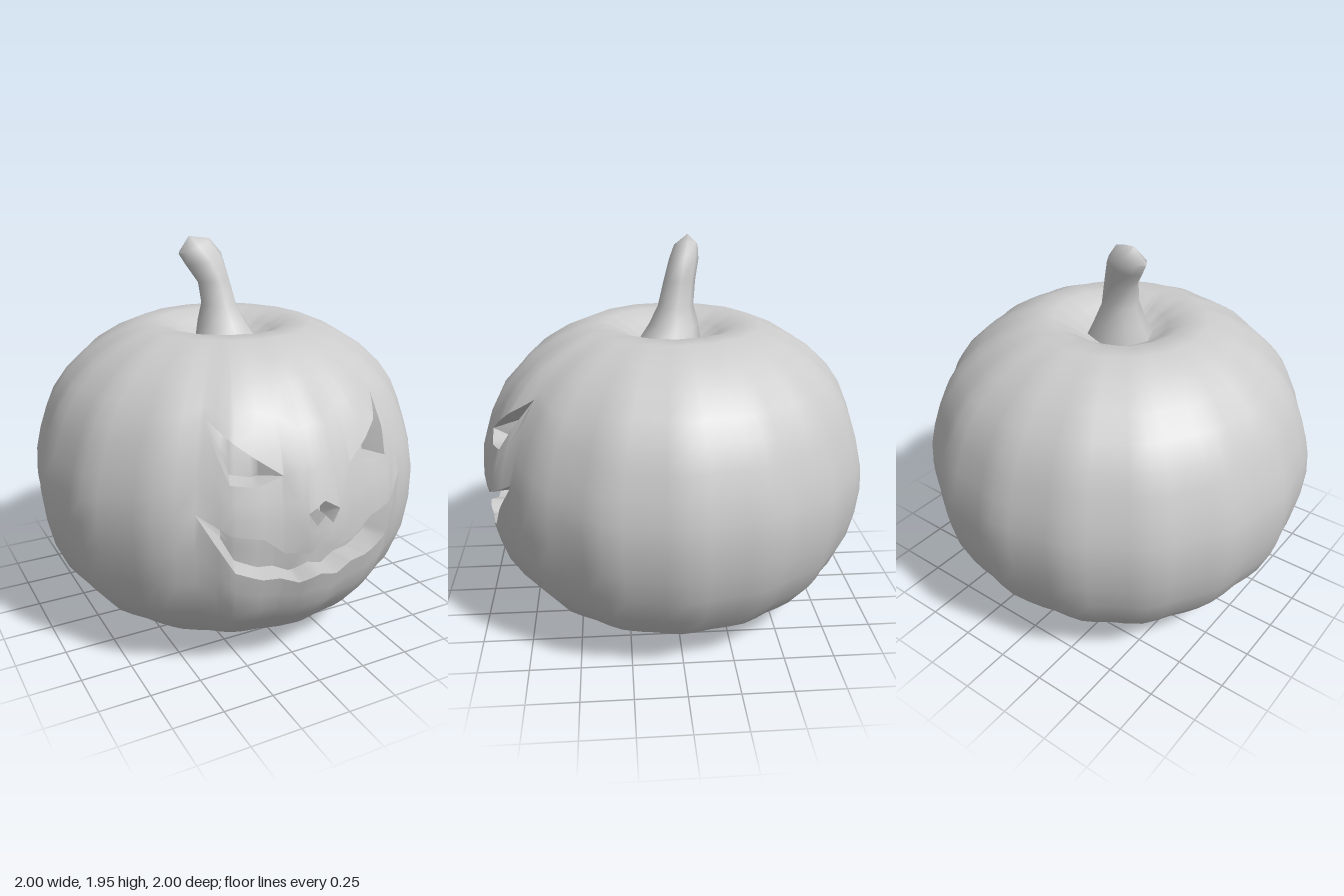
import * as THREE from 'three';
import { toCreasedNormals } from 'three/addons/utils/BufferGeometryUtils.js';

const material = new THREE.MeshStandardMaterial({ color: 0xcccccc });

// Piecewise linear lookup in a list of [key, value]
function lookup(list, k) {
  for (let i = 1; i < list.length; i++) {
    const [k0, v0] = list[i - 1], [k1, v1] = list[i];
    if (k <= k1) return v0 + (v1 - v0) * Math.max(0, (k - k0) / (k1 - k0));
  }
  return list[list.length - 1][1];
}

// Closed skin through columns of points (columns run round the y axis, rows run upwards)
function skin(columns, crease, name) {
  const pos = [], n = columns.length;
  const ab = new THREE.Vector3(), ac = new THREE.Vector3();
  const tri = (a, b, c) => {
    ab.subVectors(b, a); ac.subVectors(c, a);
    if (ab.cross(ac).length() > 1e-7) pos.push(...a, ...b, ...c);
  };
  for (let i = 0; i < n; i++) {
    const p = columns[i], q = columns[(i + 1) % n];
    for (let j = 0; j + 1 < p.length; j++) {
      tri(p[j], q[j], q[j + 1]);
      tri(p[j], q[j + 1], p[j + 1]);
    }
  }
  const geo = new THREE.BufferGeometry();
  geo.setAttribute('position', new THREE.Float32BufferAttribute(pos, 3));
  const mesh = new THREE.Mesh(toCreasedNormals(geo, crease), material);
  mesh.name = name;
  return mesh;
}

// Side profile of the pumpkin: [height, radius]
const profile = [[0.12, 0.66], [0.2, 0.77], [0.37, 0.905], [0.55, 0.965], [0.75, 0.988], [0.9, 0.98],
  [1.07, 0.93], [1.2, 0.875], [1.3, 0.805], [1.4, 0.7]];
const radius = (y) => lookup(profile, y);

// Underside and dimpled top as [radius, height]
const underside = [[0, 0.07], [0.15, 0.05], [0.28, 0.015], [0.39, 0.01], [0.53, 0.05], [0.66, 0.12]];
const crown = [[0.58, 1.475], [0.44, 1.535], [0.33, 1.535], [0.24, 1.49], [0.17, 1.44], [0, 1.43]];

// Half outlines of the carved openings, [x, y] turned into [angle, y]
const toAngle = (pts) => pts.map(([x, y]) => [Math.asin(x / radius(y)), y]);
const mouthLow = toAngle([[0, 0.57], [0.1, 0.535], [0.19, 0.57], [0.27, 0.575], [0.39, 0.625], [0.46, 0.74], [0.55, 0.9]]);
const mouthHigh = toAngle([[0, 0.74], [0.07, 0.69], [0.18, 0.7], [0.28, 0.785], [0.41, 0.81], [0.55, 0.9]]);
const noseEyeLow = toAngle([[0, 0.865], [0.04, 0.82], [0.08, 0.88], [0.17, 1.05], [0.3, 1.015], [0.4, 1.03], [0.43, 1.15], [0.44, 1.285]]);
const noseEyeHigh = toAngle([[0, 0.93], [0.08, 0.88], [0.17, 1.05], [0.44, 1.285]]);
const outlines = [mouthLow, mouthHigh, noseEyeLow, noseEyeHigh];

// Column angles: every outline corner plus an even spread
function columnAngles() {
  const out = [];
  for (const [a] of outlines.flat())
    for (const s of [a, -a]) if (!out.some((b) => Math.abs(b - s) < 1e-4)) out.push(s);
  const corners = out.slice();
  for (let i = -32; i < 32; i++) {
    const a = (i * Math.PI) / 32;
    if (!corners.some((b) => Math.abs(b - a) < 0.03)) out.push(a);
  }
  return out.sort((a, b) => a - b);
}

function pumpkinColumn(angle) {
  const a = Math.abs(angle);
  const ripple = 1 + 0.011 * Math.cos(16 * angle) + 0.004 * Math.sin(5 * angle + 1);
  const column = [];
  const add = (r, y, inset = 0) => {
    const k = r * ripple - inset;
    column.push(new THREE.Vector3(k * Math.sin(angle), y, k * Math.cos(angle)));
  };
  const rise = (y0, y1, steps, inset = 0) => {
    for (let i = 0; i <= steps; i++) {
      const y = y0 + ((y1 - y0) * i) / steps;
      add(radius(y), y, inset);
    }
  };
  // Openings close to a seam that settles to an even height round the back
  const [ml, mh, el, eh] = outlines.map((o, i) => lookup([...o, [1.2, i < 2 ? 0.75 : 1.1]], a));
  const depth = (lo, hi, d) => Math.min(d, 1.2 * Math.max(0, hi - lo));
  underside.forEach(([r, y]) => add(r, y));
  rise(0.2, ml, 4);
  rise(ml, mh, 3, depth(ml, mh, 0.12)); // recessed mouth
  rise(mh, el, 3);
  rise(el, eh, 3, depth(el, eh, 0.12)); // recessed nose and eyes
  rise(eh, 1.4, 3);
  crown.forEach(([r, y]) => add(r, y));
  return column;
}

// Bent stem from tilted rings: [centre x, y, z, radius x, radius z, tilt]
function stemColumns(sides) {
  const rings = [[0.01, 1.42, 0.02, 0.18, 0.17, 0], [-0.01, 1.53, -0.01, 0.13, 0.125, 0],
    [-0.02, 1.62, -0.02, 0.095, 0.09, 0], [-0.04, 1.74, -0.04, 0.085, 0.08, 0.1],
    [-0.08, 1.84, -0.065, 0.095, 0.075, 0.3], [-0.125, 1.905, -0.08, 0.085, 0.06, 0.4],
    [-0.15, 1.955, -0.09, 0, 0, 0]];
  return Array.from({ length: sides }, (_, i) => {
    const a = (i / sides) * Math.PI * 2, s = Math.sin(a), c = Math.cos(a);
    return rings.map(([x, y, z, rx, rz, tilt]) =>
      new THREE.Vector3(x + rx * s, y + tilt * rx * s, z + rz * c));
  });
}

export function createModel() {
  const group = new THREE.Group();
  group.name = 'carvedPumpkin';
  group.add(skin(columnAngles().map(pumpkinColumn), 0.9, 'pumpkinBody'));
  group.add(skin(stemColumns(8), 1.2, 'stem'));
  return group;
}
